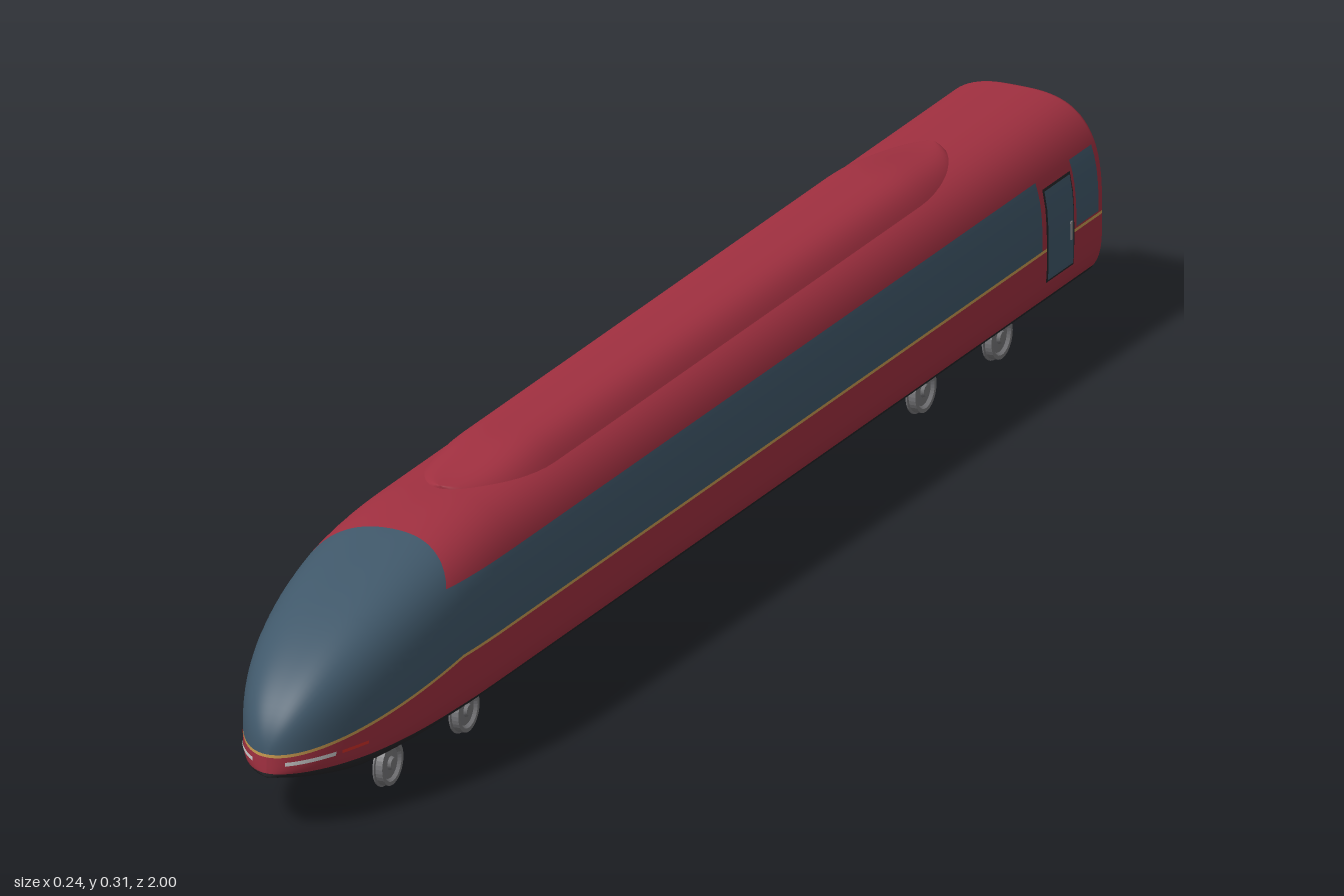
import * as THREE from 'three';

const mat = (color, roughness = 0.6) =>
  new THREE.MeshStandardMaterial({ color, roughness, side: THREE.DoubleSide });
const RED = mat(0xa03040), GLASS = mat(0x40586a), DARK = mat(0x262629), GOLD = mat(0xc89a50),
  WHITE = mat(0xf2f2f2), LAMP = mat(0xd03028), STEEL = mat(0x77777a), BLACK = mat(0x161618);

const clamp = THREE.MathUtils.clamp;
const REAR = -0.98, TOP = Math.PI / 2;

// Body outline along z: waist line, roof line, floor line and half width
const waist = z => 0.145 - 0.047 * clamp((z - 0.7) / 0.3, 0, 1);
const ramp = (z, a) => clamp((z - a) / (1 - a), 0, 1);
const roofY = z => 0.1 + 0.19 * Math.sqrt(1 - ramp(z, 0.55) ** 1.8);
const floorY = z => 0.05 + 0.02 * ramp(z, 0.88) ** 1.3;
const halfW = z => 0.117 * Math.sqrt(1 - ramp(z, 0.6) ** 2.2);
const zAtWidth = x => 0.6 + 0.4 * (1 - (x / 0.117) ** 2) ** (1 / 2.2);
const tuck = z => 1 - 0.05 * Math.max(0, (-0.968 - z) / 0.012) ** 2;
const height = (z, up) => (up ? roofY(z) - waist(z) : waist(z) - floorY(z));

// Superelliptic cross-section: angle a runs from -90 (floor) to 90 (roof) degrees
function skin(z, a) {
  const n = a > 0 ? 3 : 4, c = Math.cos(a), s = Math.sin(a);
  const r = tuck(z) * (Math.abs(c) ** n + Math.abs(s) ** n) ** (-1 / n);
  return new THREE.Vector3(r * c * halfW(z), waist(z) + r * s * height(z, a > 0), z);
}
function skinNormal(z, a) {
  z = Math.min(z, 0.9995);
  const e = 1e-4, p = skin(z, a);
  const da = skin(z, a + e).sub(skin(z, a - e));
  return da.cross(p.sub(skin(z - e, a))).normalize();
}
// Section angle at a given height
function angleAt(z, y) {
  const up = y > waist(z);
  const v = clamp((y - waist(z)) / Math.max(height(z, up), 1e-4), -0.98, 0.98);
  const n = up ? 3 : 4;
  return Math.atan2(v, (1 - Math.abs(v) ** n) ** (1 / n));
}

// Stations along the body, closer together at the rear rim, hood edge and nose
const stations = [-0.98, -0.977, -0.973, -0.968, -0.5, 0, 0.4, 0.55, 0.58, 0.61, 0.64];
for (let i = 0; i <= 12; i++) stations.push(0.67 + 0.045 * (i / 12) ** 2);
for (let i = 1; i <= 28; i++) stations.push(0.715 + 0.285 * Math.sin(i / 28 * TOP));

// Strip of skin between two section angles, on both sides of the body
function band(name, material, z0, z1, lo, hi, offset = 0, cols = 12) {
  const zs = [z0, ...stations.filter(z => z > z0 + 1e-5 && z < z1 - 1e-5), z1];
  const pos = [], nor = [], idx = [];
  for (const side of [1, -1]) {
    const base = pos.length / 3;
    zs.forEach((z, i) => {
      for (let j = 0; j <= cols; j++) {
        const a = THREE.MathUtils.lerp(lo(z), hi(z), j / cols);
        const n = skinNormal(z, a), p = skin(z, a).addScaledVector(n, offset);
        pos.push(side * p.x, p.y, p.z);
        nor.push(side * n.x, n.y, n.z);
        if (i === 0 || j === 0) continue;
        const d = base + i * (cols + 1) + j, c = d - 1, b = d - cols - 1, e = b - 1;
        if (side > 0) idx.push(e, b, d, e, d, c);
        else idx.push(e, d, b, e, c, d);
      }
    });
  }
  const g = new THREE.BufferGeometry();
  g.setAttribute('position', new THREE.Float32BufferAttribute(pos, 3));
  g.setAttribute('normal', new THREE.Float32BufferAttribute(nor, 3));
  g.setIndex(idx);
  const m = new THREE.Mesh(g, material);
  m.name = name;
  return m;
}

// Flat rear wall between two section angles
function rearWall(name, material, a0, a1) {
  const half = Array.from({ length: 33 }, (_, i) => skin(REAR, a0 + (a1 - a0) * i / 32));
  const pts = half.map(p => new THREE.Vector2(p.x, p.y));
  const left = half.map(p => new THREE.Vector2(-p.x, p.y)).reverse();
  const m = new THREE.Mesh(new THREE.ShapeGeometry(new THREE.Shape([...pts, ...left])), material);
  m.geometry.rotateY(Math.PI).translate(0, 0, REAR);
  m.name = name;
  return m;
}

// Low roof fairing that fades out at both ends
function roofFairing() {
  const rows = 64, cols = 28, z0 = -0.75, z1 = 0.545;
  const g = new THREE.PlaneGeometry(1, 1, cols, rows);
  const p = g.attributes.position;
  for (let i = 0; i < p.count; i++) {
    const u = p.getX(i) * 2;
    const f = (1 - Math.cos((0.5 - p.getY(i)) * Math.PI)) / 2;
    const z = z0 + (z1 - z0) * f;
    const t = clamp(Math.min(z - z0, z1 - z) / 0.17, 0, 1);
    const x = u * 0.073 * Math.sqrt(1 - (1 - t) ** 2);
    const roof = 0.145 + 0.145 * (1 - (Math.abs(x) / 0.117) ** 3) ** (1 / 3);
    const h = 0.004 + 0.014 * t * t * (3 - 2 * t);
    p.setXYZ(i, x, roof - 0.003 + (h + 0.003) * (1 - Math.abs(u) ** 4), z);
  }
  g.computeVertexNormals();
  const m = new THREE.Mesh(g, RED);
  m.name = 'roofFairing';
  return m;
}

// Flanged wheel with a dished web and a hub, axis along x
function wheel(side, z) {
  const profile = [[0, 0.007], [0.007, 0.007], [0.009, 0.003], [0.02, 0.002], [0.023, 0.006],
    [0.028, 0.006], [0.0285, -0.003], [0.031, -0.004], [0.031, -0.006], [0.022, -0.006],
    [0.02, -0.002], [0.009, -0.003], [0.007, -0.006], [0, -0.006]];
  const pts = profile.map(([r, y]) => new THREE.Vector2(r, y)).reverse();
  const geo = new THREE.LatheGeometry(pts, 32).toNonIndexed();
  geo.computeVertexNormals();
  const m = new THREE.Mesh(geo, STEEL);
  m.rotation.z = -side * Math.PI / 2;
  m.position.set(side * 0.063, 0.031, z);
  m.name = 'wheel';
  return m;
}

function box(name, material, w, h, d, x, y, z) {
  const m = new THREE.Mesh(new THREE.BoxGeometry(w, h, d), material);
  m.position.set(x, y, z);
  m.name = name;
  return m;
}

export function createModel() {
  const train = new THREE.Group();
  train.name = 'train';

  // Body skin, from the floor up
  const floor = () => -TOP, crown = () => TOP;
  const sill = z => angleAt(z, 0.075);
  const goldLo = z => angleAt(z, waist(z) - 0.002), goldHi = z => angleAt(z, waist(z) + 0.002);
  const glassTop = z => angleAt(z, 0.235);
  const hoodEdge = z => THREE.MathUtils.lerp(TOP, glassTop(z), Math.sqrt(clamp((z - 0.67) / 0.045, 0, 1)));
  train.add(
    band('underframe', DARK, REAR, 1, floor, sill, 0, 20),
    band('lowerSide', RED, REAR, 1, sill, goldLo),
    band('goldStripe', GOLD, REAR, 1, goldLo, goldHi, 0, 2),
    band('windowBand', GLASS, -0.815, 1, goldHi, glassTop),
    band('rearSide', RED, REAR, -0.815, goldHi, glassTop),
    band('roof', RED, REAR, 0.715, glassTop, hoodEdge, 0, 20),
    band('noseHood', GLASS, 0.67, 1, hoodEdge, crown, 0, 20),
    rearWall('rearWall', RED, sill(REAR), TOP),
    rearWall('rearUnderframe', DARK, -TOP, sill(REAR)),
    roofFairing());

  // Doors and rear windows
  const patch = (name, material, z0, z1, y0, y1, offset) =>
    band(name, material, z0, z1, z => angleAt(z, y0), z => angleAt(z, y1), offset, 6);
  train.add(
    patch('doorFrame', DARK, -0.897, -0.825, 0.102, 0.223, 0.0006),
    patch('door', GLASS, -0.894, -0.828, 0.105, 0.22, 0.0014),
    patch('rearWindow', GLASS, -0.96, -0.902, 0.15, 0.235, 0.001));

  // Head and marker lamps
  const lamp = (name, material, x0, x1, h) => {
    const mid = z => 0.0885 + 0.09 * (halfW(z) - 0.022);
    return band(name, material, zAtWidth(x1), zAtWidth(x0),
      z => angleAt(z, mid(z) - h), z => angleAt(z, mid(z) + h), 0.0012, 4);
  };
  train.add(lamp('headlamp', WHITE, 0.022, 0.064, 0.0025), lamp('markerLamp', LAMP, 0.068, 0.083, 0.002));

  // Rear gangway
  train.add(box('gangwayFrame', DARK, 0.1, 0.172, 0.02, 0, 0.174, -0.99),
    box('gangwayDoor', BLACK, 0.084, 0.156, 0.003, 0, 0.174, -0.9985));

  for (const side of [1, -1]) {
    train.add(box('doorHandle', STEEL, 0.005, 0.024, 0.004, side * 0.1175, 0.15, -0.887));
    train.add(box('rearHandrail', DARK, 0.005, 0.07, 0.005, side * 0.085, 0.18, -0.982));
    for (const z of [0.8, 0.6, -0.6, -0.8]) train.add(wheel(side, z));
  }
  return train;
}
